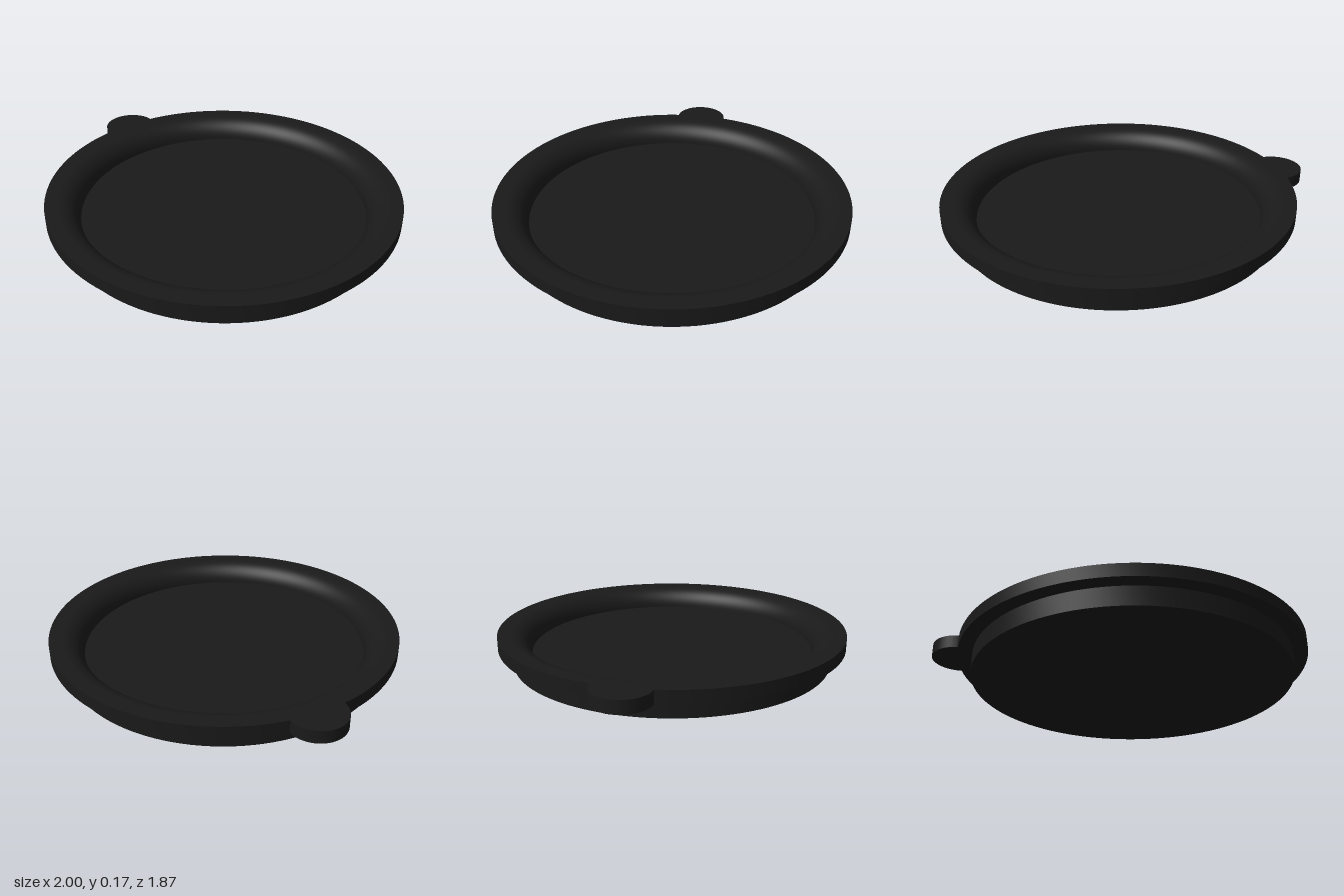
import * as THREE from 'three';
import { toCreasedNormals } from 'three/addons/utils/BufferGeometryUtils.js';

const CENTER_X = 0.065;
const RIM_BOTTOM = 0.1, TOP = 0.167;
const RIM_R = 0.933, BODY_R = 0.857, FLOOR_R = 0.757, FILLET = 0.112;

export function createModel() {
  const group = new THREE.Group();
  const material = new THREE.MeshStandardMaterial({ color: 0x1a1a1a });

  const add = (name, geometry) => {
    const mesh = new THREE.Mesh(toCreasedNormals(geometry, Math.PI / 6), material);
    mesh.name = name;
    group.add(mesh);
    return mesh;
  };

  // Lid: plug body, overhanging rim, rounded inner lip and sunken floor
  const profile = [[0, 0], [BODY_R, 0], [BODY_R, RIM_BOTTOM], [RIM_R, RIM_BOTTOM], [RIM_R, TOP]];
  const steps = 12;
  for (let i = 0; i <= steps; i++) {
    const a = (i / steps) * Math.PI / 2;
    profile.push([FLOOR_R + FILLET * (1 - Math.sin(a)), TOP - FILLET * (1 - Math.cos(a))]);
  }
  profile.push([0, TOP - FILLET]);
  const lid = add('lid', new THREE.LatheGeometry(profile.map(([r, y]) => new THREE.Vector2(r, y)), 128));
  lid.position.x = CENTER_X;

  // Pull tab: rounded tongue running into the rim
  const tabR = 0.144;
  const tongue = new THREE.Shape();
  tongue.moveTo(0.05, -tabR);
  tongue.lineTo(0.05, tabR);
  tongue.lineTo(0, tabR);
  tongue.absarc(0, 0, tabR, Math.PI / 2, Math.PI * 1.5, false);
  const tabGeometry = new THREE.ExtrudeGeometry(tongue, {
    depth: TOP - RIM_BOTTOM, bevelEnabled: false, curveSegments: 32,
  });
  tabGeometry.rotateX(-Math.PI / 2);
  const tab = add('pullTab', tabGeometry);
  tab.position.set(-1 + tabR, RIM_BOTTOM, -0.035);

  return group;
}
